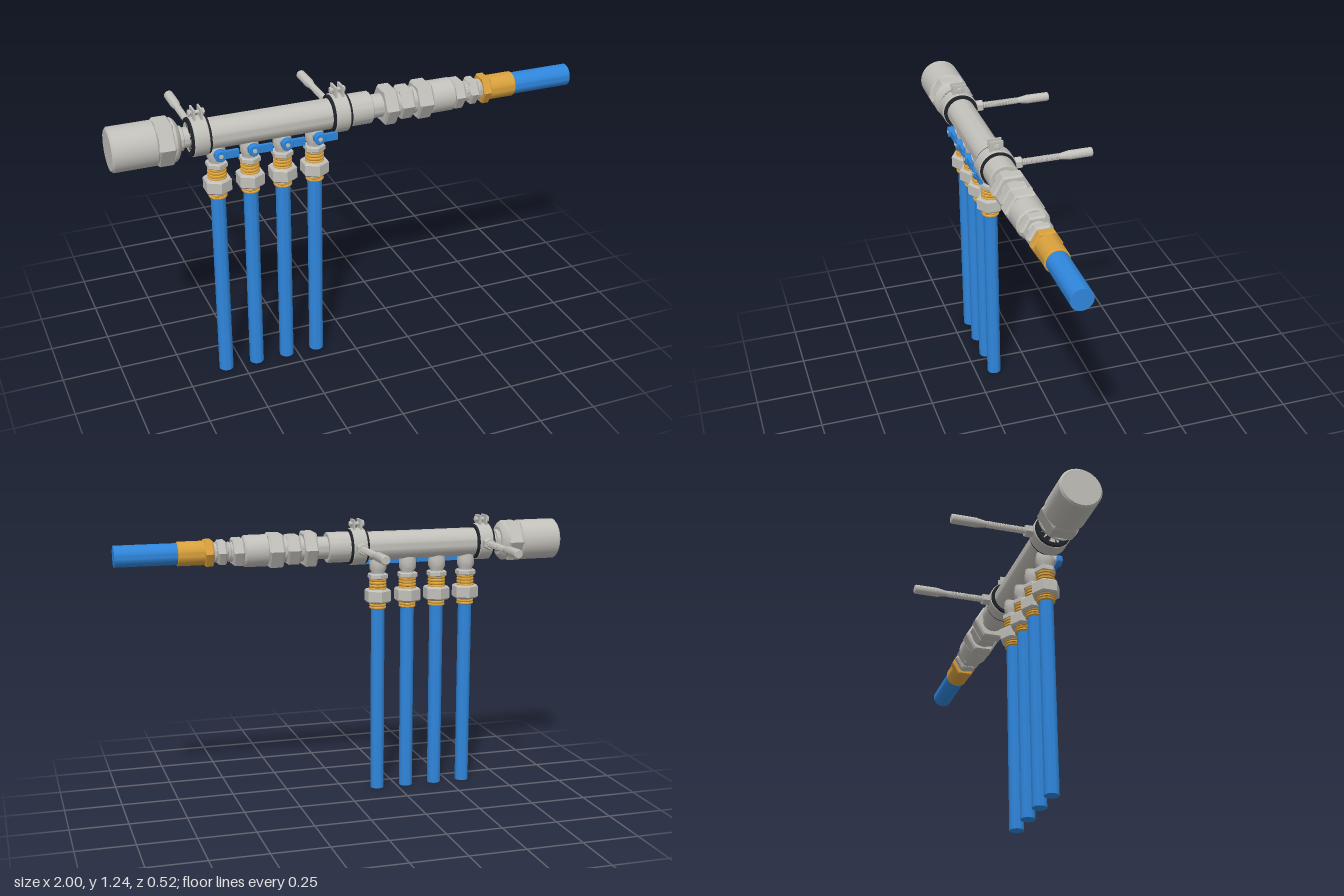
import * as THREE from 'three';
import { toCreasedNormals } from 'three/addons/utils/BufferGeometryUtils.js';

const material = (name, color) => {
  const m = new THREE.MeshStandardMaterial({ color });
  m.name = name;
  return m;
};

const AXIS_Y = 1.12, AXIS_Z = 0.164;

export function createModel() {
  const steel = material('steel', 0xc2c0ba);
  const blue = material('blue plastic', 0x2f86dc);
  const brass = material('brass', 0xd9a03c);
  const rubber = material('black rubber', 0x20242a);
  const model = new THREE.Group();
  model.name = 'pipeManifold';

  // Closed turned solid; profile is [radius, height] from bottom to top
  function turned(parent, name, mat, profile, sides = 40) {
    const first = profile[0][1], last = profile[profile.length - 1][1];
    const pts = [[0, first], ...profile, [0, last]].map(([r, h]) => new THREE.Vector2(r, h));
    const geo = toCreasedNormals(new THREE.LatheGeometry(pts, sides), 0.5);
    const mesh = new THREE.Mesh(geo, mat);
    mesh.name = name;
    parent.add(mesh);
    return mesh;
  }
  const rod = (parent, name, mat, r, a, b, c = 0.003) =>
    turned(parent, name, mat, [[r - c, a], [r, a + c], [r, b - c], [r - c, b]]);
  // Chamfered hexagonal nut, corners towards local z
  const hexNut = (parent, name, mat, r, a, b, c = 0.008) =>
    turned(parent, name, mat, [[r - c, a], [r, a + c], [r, b - c], [r - c, b]], 6);
  function ridges(r, depth, a, b, n) {
    const out = [];
    const step = (b - a) / n;
    for (let i = 0; i < n; i++) {
      out.push([r - depth, a + i * step], [r, a + (i + 0.3) * step], [r, a + (i + 0.7) * step]);
    }
    out.push([r - depth, b]);
    return out;
  }
  function box(parent, name, mat, size, pos) {
    const mesh = new THREE.Mesh(new THREE.BoxGeometry(...size), mat);
    mesh.name = name;
    mesh.position.set(...pos);
    parent.add(mesh);
    return mesh;
  }

  // Main line: local y runs along model x
  const line = new THREE.Group();
  line.name = 'mainLine';
  line.rotation.z = -Math.PI / 2;
  line.position.set(0, AXIS_Y, AXIS_Z);
  model.add(line);

  rod(line, 'endCap', steel, 0.09, -1, -0.815, 0.008);
  hexNut(line, 'capNut', steel, 0.098, -0.82, -0.75);
  turned(line, 'capCollar', steel, [[0.088, -0.755], [0.088, -0.745], [0.08, -0.735], [0.062, -0.725]]);
  rod(line, 'capNeck', steel, 0.05, -0.73, -0.708);
  rod(line, 'capNipple', steel, 0.041, -0.71, -0.66);
  rod(line, 'manifoldPipe', steel, 0.063, -0.685, -0.02);
  rod(line, 'pipeSleeve', steel, 0.067, -0.04, 0.08);
  rod(line, 'sleeveNeck', steel, 0.049, 0.075, 0.14);

  // Row of couplings stepping down towards the supply hose
  const nuts = [
    [0.085, 0.132, 0.19], [0.072, 0.205, 0.265], [0.083, 0.28, 0.347],
    [0.067, 0.45, 0.5], [0.059, 0.525, 0.565],
  ];
  nuts.forEach(([r, a, b]) => hexNut(line, 'couplingNut', steel, r, a, b));
  rod(line, 'couplingCore', steel, 0.056, 0.185, 0.285);
  rod(line, 'couplingBody', steel, 0.069, 0.342, 0.452, 0.008);
  turned(line, 'reducerThread', steel, ridges(0.043, 0.004, 0.495, 0.59, 8));
  hexNut(line, 'hoseNut', brass, 0.064, 0.583, 0.62, 0.005);
  rod(line, 'hoseFerrule', brass, 0.052, 0.615, 0.735);
  rod(line, 'supplyHose', blue, 0.046, 0.73, 1, 0.0005);

  // Wall clamps with ears, bolt and rear mounting rod
  for (const x of [-0.645, -0.057]) {
    const clamp = new THREE.Group();
    clamp.name = 'wallClamp';
    clamp.position.set(x, AXIS_Y, AXIS_Z);
    model.add(clamp);

    const band = new THREE.Group();
    band.name = 'clampBand';
    band.rotation.z = -Math.PI / 2;
    clamp.add(band);
    rod(band, 'rubberLining', rubber, 0.077, -0.04, 0.04, 0.002);
    rod(band, 'steelBand', steel, 0.081, -0.031, 0.031);
    const bolt = new THREE.Group();
    bolt.name = 'clampBolt';
    bolt.rotation.z = -Math.PI / 2;
    bolt.position.y = 0.1;
    clamp.add(bolt);
    rod(bolt, 'boltShank', steel, 0.008, -0.034, 0.034, 0.001);
    rod(bolt, 'boltHead', steel, 0.014, -0.034, -0.025, 0.002);
    hexNut(bolt, 'boltNut', steel, 0.014, 0.024, 0.032, 0.002);
    for (const side of [-1, 1]) {
      box(clamp, 'clampEar', steel, [0.008, 0.05, 0.058], [side * 0.015, 0.095, 0]);
    }

    const mount = new THREE.Group();
    mount.name = 'mountingRod';
    mount.rotation.x = -Math.PI / 2;
    clamp.add(mount);
    hexNut(mount, 'rodNut', steel, 0.027, 0.075, 0.111, 0.004);
    turned(mount, 'threadedRod', steel, ridges(0.0145, 0.003, 0.1, 0.275, 24), 20);
    turned(mount, 'wallPlug', steel,
      [[0.012, 0.272], [0.018, 0.31], [0.02, 0.32], [0.02, 0.42], [0.017, 0.424]], 24);
  }

  // Four outlets, each with a valve, fitting and hanging hose
  for (let i = 0; i < 4; i++) {
    const outlet = new THREE.Group();
    outlet.name = 'outlet';
    outlet.position.set(-0.573 + i * 0.1385, 0, AXIS_Z);
    model.add(outlet);

    rod(outlet, 'outletHose', blue, 0.0305, 0, 0.85, 0.0005);
    turned(outlet, 'lowerFerrule', brass, ridges(0.038, 0.004, 0.838, 0.872, 3));
    hexNut(outlet, 'unionNut', steel, 0.06, 0.866, 0.926, 0.007);
    turned(outlet, 'upperFerrule', brass, ridges(0.039, 0.004, 0.92, 0.975, 4));
    hexNut(outlet, 'valveNut', steel, 0.046, 0.972, 0.996, 0.004);
    turned(outlet, 'valveBody', steel,
      [[0.03, 0.99], [0.03, 1.002], [0.038, 1.018], [0.038, 1.045], [0.034, 1.08]]);

    const stem = new THREE.Group();
    stem.name = 'valveStem';
    stem.rotation.x = Math.PI / 2;
    stem.position.y = 1.046;
    outlet.add(stem);
    rod(stem, 'stemHousing', steel, 0.021, 0, 0.05);
    rod(stem, 'handleHub', blue, 0.024, 0.045, 0.072, 0.003);
    rod(stem, 'handleScrew', steel, 0.009, 0.07, 0.075, 0.001);
    box(outlet, 'handleLever', blue, [0.065, 0.032, 0.016], [0.044, 1.046, 0.058]);
  }
  return model;
}
